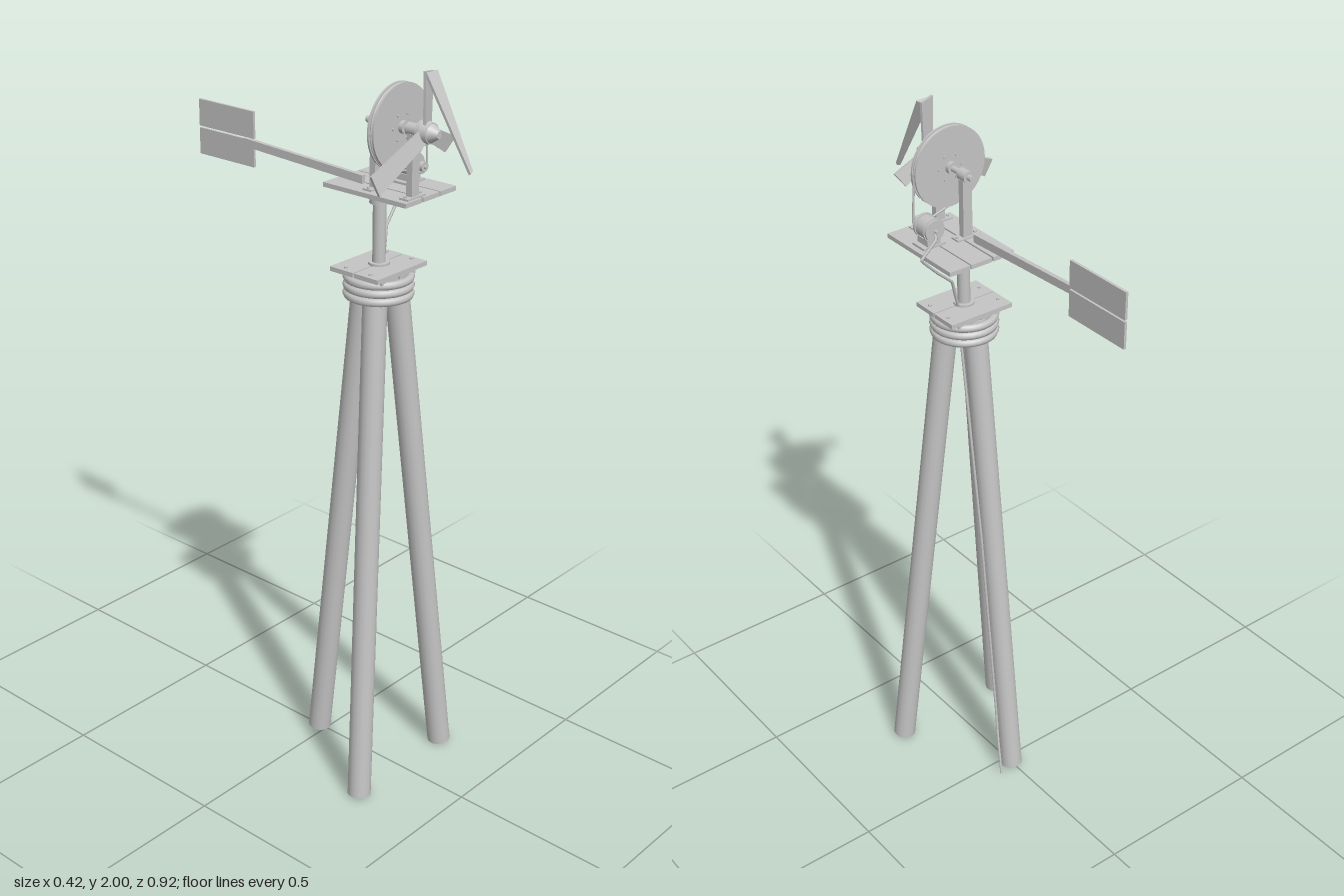
import * as THREE from 'three';

const grey = new THREE.MeshStandardMaterial({ color: 0xc4c4c4 });
grey.name = 'weathered grey';
const V = (x, y, z) => new THREE.Vector3(x, y, z);

export function createModel() {
  const model = new THREE.Group();
  model.name = 'windTurbine';
  const AXIS_Z = 0.178, SHAFT_Y = 1.847;

  function add(name, geometry, x = 0, y = 0, z = 0) {
    const mesh = new THREE.Mesh(geometry, grey);
    mesh.name = name;
    mesh.position.set(x, y, z);
    model.add(mesh);
    return mesh;
  }
  // box given by its minimum and maximum corners
  const box = (name, x0, x1, y0, y1, z0, z1) =>
    add(name, new THREE.BoxGeometry(x1 - x0, y1 - y0, z1 - z0), (x0 + x1) / 2, (y0 + y1) / 2, (z0 + z1) / 2);
  // cylinder running from a to b
  function rod(name, a, b, rA, rB = rA, sides = 16) {
    const mesh = add(name, new THREE.CylinderGeometry(rB, rA, a.distanceTo(b), sides));
    mesh.position.copy(a).add(b).multiplyScalar(0.5);
    mesh.quaternion.setFromUnitVectors(V(0, 1, 0), b.clone().sub(a).normalize());
    return mesh;
  }
  const zRod = (name, x, y, z0, z1, r0, r1 = r0, sides = 16) => rod(name, V(x, y, z0), V(x, y, z1), r0, r1, sides);
  // wire or belt through a list of points
  const wire = (name, points, r, closed = false, bend = 0.1) =>
    add(name, new THREE.TubeGeometry(new THREE.CatmullRomCurve3(points, closed, 'catmullrom', bend), 64, r, 6, closed));

  // Tripod legs
  for (let i = 0; i < 3; i++) {
    const a = -Math.PI / 2 + (i * Math.PI * 2) / 3;
    const at = (r, y) => V(Math.cos(a) * r, y, AXIS_Z + Math.sin(a) * r);
    rod('leg', at(0.203, 0.004), at(0.044, 1.455), 0.032);
  }

  // Rope lashing
  for (let i = 0; i < 3; i++) {
    const coil = add('ropeCoil', new THREE.TorusGeometry(0.081, 0.011, 8, 32), 0, 1.406 + i * 0.022, AXIS_Z);
    coil.rotation.x = Math.PI / 2;
  }

  // Boards on top of the tripod
  for (const s of [-1, 1]) {
    const z = AXIS_Z + s * 0.04;
    box('topBoard', -0.098, 0.096, 1.47, 1.482, z - 0.038, z + 0.038);
    box('crossBoard', s * 0.035 - 0.031, s * 0.035 + 0.031, 1.455, 1.47, 0.112, 0.244);
    for (const x of [-0.08, 0.08]) rod('boardBolt', V(x, 1.48, z), V(x, 1.486, z), 0.005, 0.005, 8);
  }

  // Mast with swivel collars
  rod('mast', V(0, 1.45, AXIS_Z), V(0, 1.67, AXIS_Z), 0.017);
  rod('mastFlange', V(0, 1.48, AXIS_Z), V(0, 1.488, AXIS_Z), 0.028);
  rod('swivelCollar', V(0, 1.642, AXIS_Z), V(0, 1.665, AXIS_Z), 0.026);
  rod('swivelFlange', V(0, 1.658, AXIS_Z), V(0, 1.666, AXIS_Z), 0.034);

  // Platform of three boards
  for (const [x0, x1] of [[-0.051, 0.012], [0.017, 0.08], [0.084, 0.146]])
    box('platformBoard', x0, x1, 1.665, 1.677, 0.035, 0.303);

  // Bearing posts with feet
  for (const z of [0.165, 0.282]) {
    box('bearingPost', -0.014, 0.014, 1.677, 1.838, z - 0.009, z + 0.009);
    box('postFoot', -0.035, 0.035, 1.677, 1.682, z - 0.014, z + 0.014);
    zRod('bearing', 0, SHAFT_Y, z - 0.016, z + 0.016, 0.016);
    for (const x of [-0.028, 0.028]) rod('footBolt', V(x, 1.682, z), V(x, 1.686, z), 0.004, 0.004, 6);
  }

  // Shaft and large drive wheel with a grooved rim
  zRod('shaft', 0, SHAFT_Y, 0.135, 0.34, 0.008);
  zRod('driveWheel', 0, SHAFT_Y, 0.23, 0.242, 0.102, 0.102, 40);
  for (const [z0, z1] of [[0.226, 0.231], [0.241, 0.246]]) zRod('wheelFlange', 0, SHAFT_Y, z0, z1, 0.108, 0.108, 40);
  zRod('wheelHub', 0, SHAFT_Y, 0.214, 0.258, 0.016);
  for (let i = 0; i < 6; i++) {
    const a = (i * Math.PI) / 3;
    zRod('wheelBolt', Math.cos(a) * 0.035, SHAFT_Y + Math.sin(a) * 0.035, 0.222, 0.25, 0.004, 0.004, 6);
  }

  // Generator, its cradle and small pulley
  const GX = 0.097, GY = 1.724;
  zRod('generator', GX, GY, 0.162, 0.218, 0.029, 0.029, 20);
  for (const z of [0.168, 0.206]) zRod('generatorBand', GX, GY, z, z + 0.006, 0.032, 0.032, 20);
  zRod('generatorNose', GX, GY, 0.216, 0.226, 0.018);
  zRod('generatorShaft', GX, GY, 0.15, 0.248, 0.005);
  zRod('smallPulley', GX, GY, 0.23, 0.242, 0.013);
  box('generatorCradle', GX - 0.02, GX + 0.02, 1.677, 1.7, 0.168, 0.212);
  box('generatorBase', GX - 0.034, GX + 0.034, 1.677, 1.683, 0.165, 0.215);

  // Belt around both pulleys
  const belt = [];
  const dir = Math.atan2(GY - SHAFT_Y, GX), spread = Math.acos((0.105 - 0.015) / Math.hypot(GX, GY - SHAFT_Y));
  for (let i = 0; i <= 20; i++) {
    const a = dir + spread + (i / 20) * (Math.PI * 2 - 2 * spread);
    belt.push(V(Math.cos(a) * 0.105, SHAFT_Y + Math.sin(a) * 0.105, 0.236));
  }
  for (let i = 0; i <= 4; i++) {
    const a = dir - spread + (i / 4) * 2 * spread;
    belt.push(V(GX + Math.cos(a) * 0.015, GY + Math.sin(a) * 0.015, 0.236));
  }
  wire('driveBelt', belt, 0.003, true, 0.3);

  // Rotor hub
  zRod('hubCollar', 0, SHAFT_Y, 0.305, 0.32, 0.028);
  zRod('hub', 0, SHAFT_Y, 0.318, 0.338, 0.03, 0.026);
  zRod('hubNose', 0, SHAFT_Y, 0.338, 0.36, 0.024, 0.009);

  // Blade: a tapered, slightly pitched plate running along +y from the hub
  function blade(name, start, end, w0, w1, angle, pitch) {
    const s = new THREE.Shape([
      new THREE.Vector2(-w0, start), new THREE.Vector2(w0, start),
      new THREE.Vector2(w1, end - 0.006), new THREE.Vector2(-w1, end)]);
    const g = new THREE.ExtrudeGeometry(s, { depth: 0.007, bevelEnabled: false });
    g.translate(0, 0, -0.0035).rotateY(pitch).rotateZ(angle);
    return add(name, g, 0, SHAFT_Y, 0.323);
  }
  blade('upperBlade', 0.015, 0.152, 0.017, 0.022, 0, 0.25);
  blade('longBlade', 0.015, 0.215, 0.018, 0.026, Math.PI * 0.64, 0.25);
  blade('brokenBlade', 0.015, 0.103, 0.018, 0.023, -Math.PI * 0.655, 0.25);
  // snapped blade tip hanging forward from the upper blade
  const tip = blade('hangingTip', 0, 0.258, 0.021, 0.006, 0, 0);
  tip.position.set(0.003, 1.994, 0.328);
  tip.rotation.x = Math.PI - 0.52;

  // Tail boom and two-board vane
  const boom = add('tailBoom', new THREE.BoxGeometry(0.012, 0.022, 0.41), 0, 1.7, -0.08);
  boom.rotation.x = 0.045;
  for (const [y0, y1] of [[1.642, 1.714], [1.719, 1.792]]) box('tailVane', 0.006, 0.013, y0, y1, -0.46, -0.26);

  // Cable from the generator, down the mast and the rear leg
  wire('upperCable', [V(0.1, 1.72, 0.16), V(0.108, 1.71, 0.145), V(0.156, 1.672, 0.14), V(0.15, 1.662, 0.142),
    V(0.1, 1.612, 0.15), V(0.05, 1.567, 0.16), V(0.035, 1.52, 0.168), V(0.022, 1.48, 0.172)], 0.004);
  wire('lowerCable', [V(0.022, 1.48, 0.172), V(0.033, 1.4, 0.15), V(0.035, 0.8, 0.066), V(0.036, 0.2, 0.0),
    V(0.044, 0.12, -0.018), V(0.056, 0.006, -0.05)], 0.004);

  return model;
}
